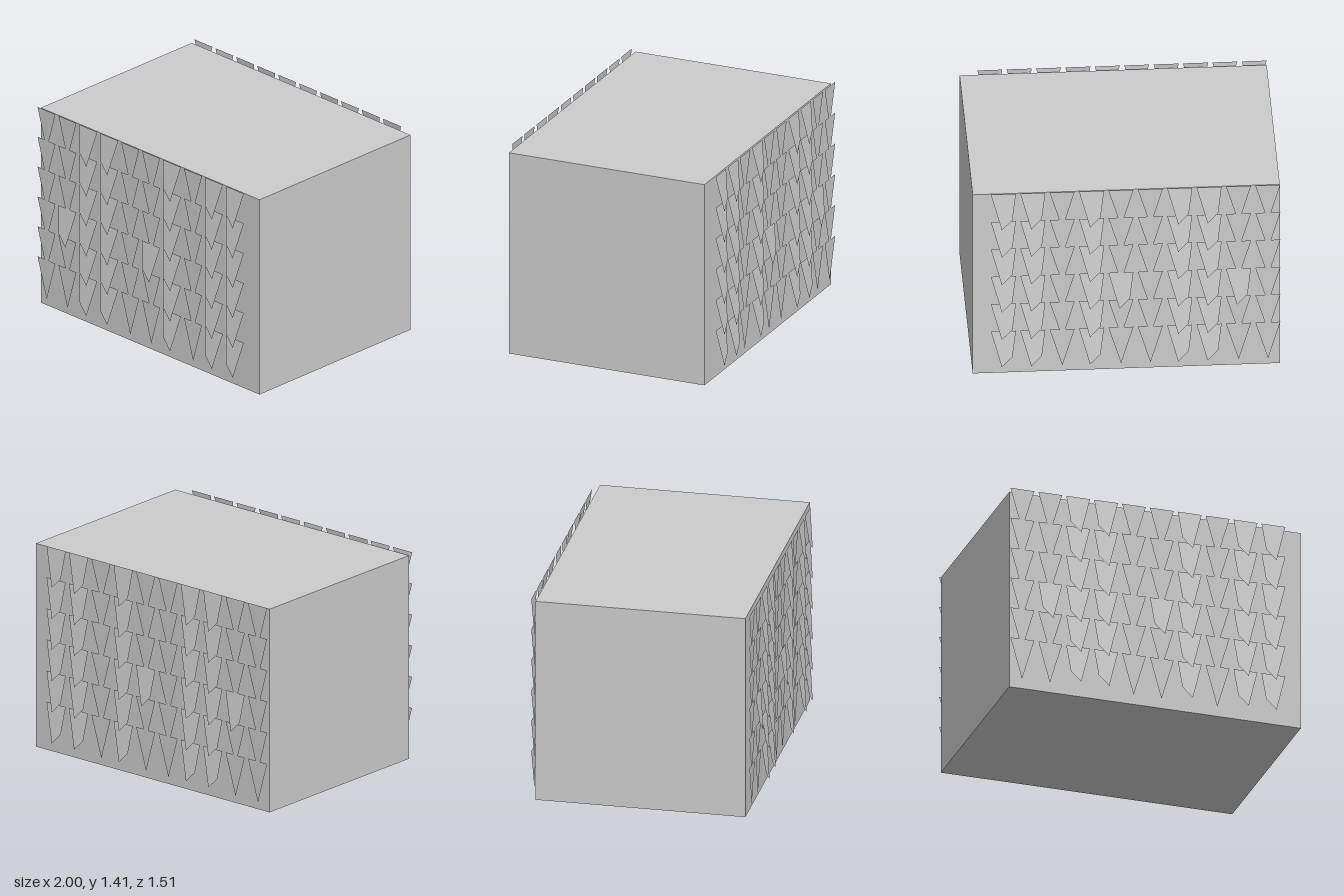
import * as THREE from 'three';

const ROWS = 6, COLS = 10;
const PITCH_X = 0.191, PITCH_Y = 0.214, TOP = 1.411, FACE_Z = 0.724;
const BROAD_COLS = [2, 3, 6, 8, 9];   // broad shingles in every row
const MIXED_COLS = [1, 5];            // one broad shingle, in the fourth row

// Flat outline hung from y = 0, leaning out (or in) by `lean` at its tip
function shingleGeometry(outline, lean) {
  const geometry = new THREE.ShapeGeometry(
    new THREE.Shape(outline.map(([x, y]) => new THREE.Vector2(x, y))));
  const pos = geometry.attributes.position;
  const tipY = Math.min(...outline.map((p) => p[1]));
  for (let i = 0; i < pos.count; i++) pos.setZ(i, lean * pos.getY(i) / tipY);
  geometry.computeVertexNormals();
  return geometry;
}

export function createModel() {
  const model = new THREE.Group();
  const grey = new THREE.MeshStandardMaterial({ color: 0xcccccc });
  const sheet = new THREE.MeshStandardMaterial({
    color: 0xcccccc, side: THREE.DoubleSide, flatShading: true });

  // Solid block
  const block = new THREE.Mesh(new THREE.BoxGeometry(1.996, 1.396, 1.392), grey);
  block.name = 'block';
  block.position.y = 0.698;
  model.add(block);

  // Two shingle cuts
  const pointed = shingleGeometry([[0, 0], [0.08, -0.285], [0.163, 0]], -0.003);
  const broad = shingleGeometry(
    [[0, 0], [0.024, -0.19], [0.093, -0.262], [0.163, 0]], 0.031);

  // Rows of shingles on the front, mirrored on the back
  for (const side of [1, -1]) {
    const cladding = new THREE.Group();
    cladding.name = side > 0 ? 'frontShingles' : 'backShingles';
    cladding.scale.z = side;
    for (let row = 0; row < ROWS; row++) {
      for (let col = 0; col < COLS; col++) {
        const isBroad = BROAD_COLS.includes(col) || (row === 3 && MIXED_COLS.includes(col));
        const shingle = new THREE.Mesh(isBroad ? broad : pointed, sheet);
        shingle.name = isBroad ? 'broadShingle' : 'pointedShingle';
        shingle.position.set(-1 + col * PITCH_X, TOP - row * PITCH_Y, FACE_Z);
        cladding.add(shingle);
      }
    }
    model.add(cladding);
  }
  return model;
}
